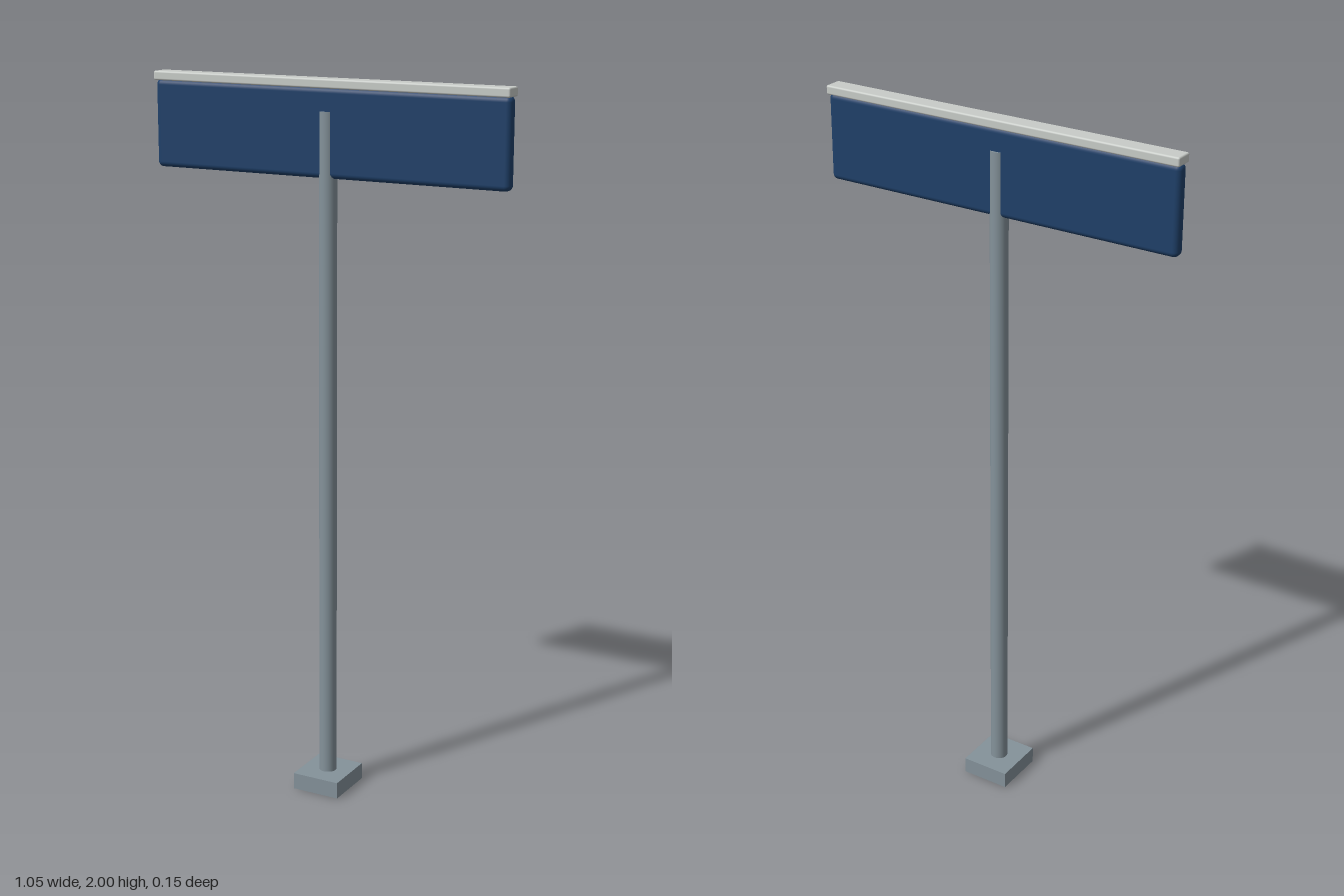
import * as THREE from 'three';
import { RoundedBoxGeometry } from 'three/addons/geometries/RoundedBoxGeometry.js';

const material = (name, color) => {
  const m = new THREE.MeshStandardMaterial({ color });
  m.name = name;
  return m;
};

export function createModel() {
  const group = new THREE.Group();
  group.name = 'signpost';
  const steel = material('grey steel', 0x84929a);
  const navy = material('navy blue', 0x1f4069);
  const pale = material('pale grey', 0xc8ccc8);

  const add = (name, geometry, mat, y) => {
    const mesh = new THREE.Mesh(geometry, mat);
    mesh.name = name;
    mesh.position.y = y;
    group.add(mesh);
  };

  // Square foot and round pole
  add('base', new THREE.BoxGeometry(0.14, 0.047, 0.152), steel, 0.0235);
  add('pole', new THREE.CylinderGeometry(0.0245, 0.0245, 1.875, 32), steel, 0.04 + 1.875 / 2);

  // Soft-edged board, thinner than the pole so the pole shows on both faces
  add('signBoard', new RoundedBoxGeometry(1.05, 0.238, 0.037, 4, 0.015), navy, 1.859);

  // Cap rail along the top edge
  add('topRail', new RoundedBoxGeometry(1.05, 0.025, 0.052, 3, 0.005), pale, 1.9875);

  return group;
}
